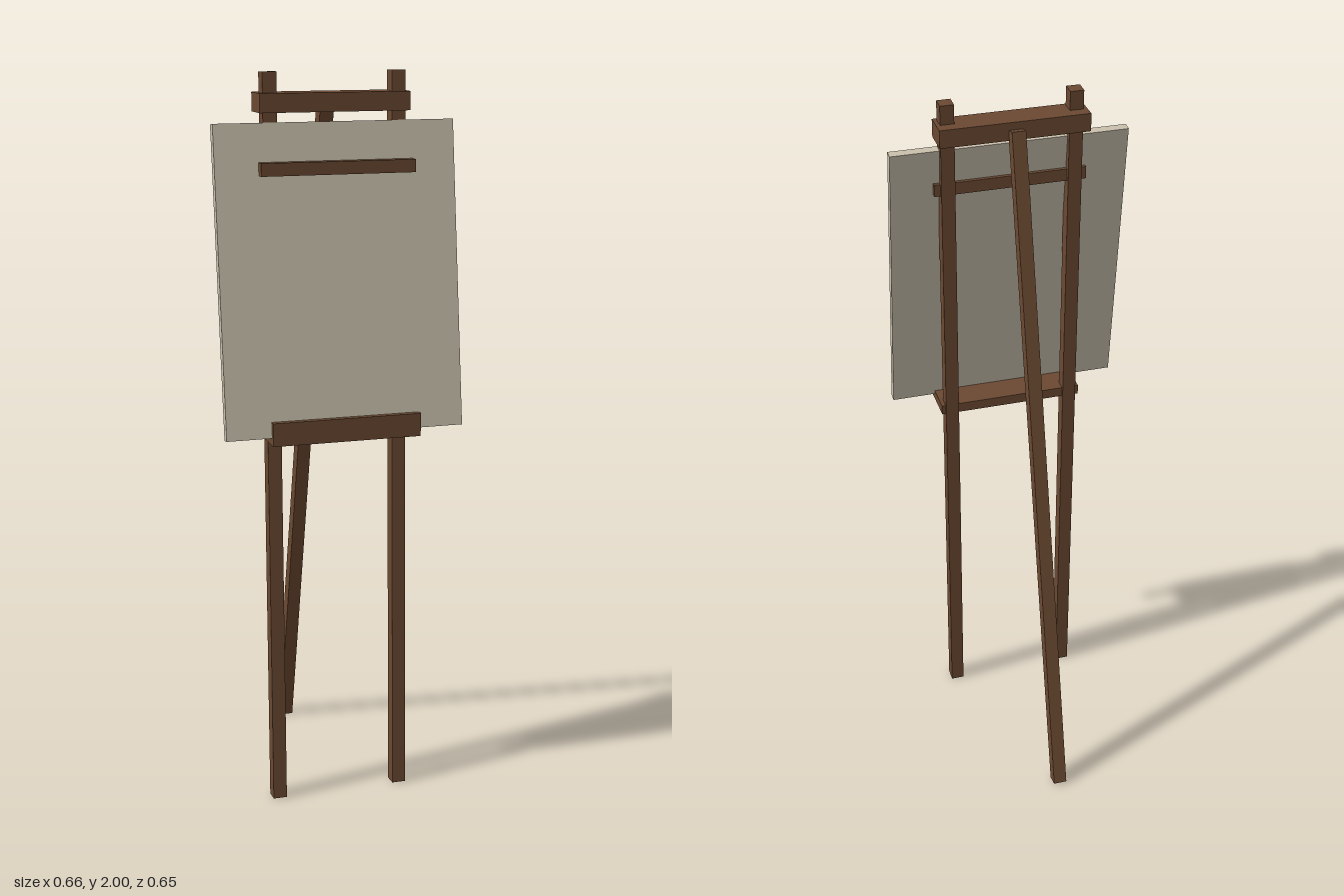
import * as THREE from 'three';

export function createModel() {
  const wood = new THREE.MeshStandardMaterial({ color: 0x6b4932 });
  wood.name = 'brown wood';
  const canvas = new THREE.MeshStandardMaterial({ color: 0xc9c0ad });
  canvas.name = 'pale canvas';

  const easel = new THREE.Group();
  easel.name = 'easel';

  // Box given by its size and centre
  function box(name, material, size, centre, tilt = 0) {
    const mesh = new THREE.Mesh(new THREE.BoxGeometry(...size), material);
    mesh.name = name;
    mesh.position.set(...centre);
    mesh.rotation.x = tilt;
    easel.add(mesh);
  }

  // Square bar leaning in z from its foot to its top, each [y, z]
  function leg(name, x, foot, top) {
    const dy = top[0] - foot[0], dz = top[1] - foot[1];
    box(name, wood, [0.038, Math.hypot(dy, dz), 0.038],
      [x, (foot[0] + top[0]) / 2, (foot[1] + top[1]) / 2], Math.atan2(dz, dy));
  }

  // Three legs
  leg('leftFrontLeg', 0.176, [0.001, 0.249], [1.999, 0.176]);
  leg('rightFrontLeg', -0.176, [0.001, 0.249], [1.999, 0.176]);
  leg('backLeg', 0, [0.004, -0.308], [1.926, 0.116]);

  // Bar joining the legs at the top
  box('topCrossbar', wood, [0.411, 0.05, 0.082], [0, 1.92, 0.166]);

  // Tray with its raised front lip
  box('trayShelf', wood, [0.411, 0.028, 0.12], [0, 1.052, 0.258]);
  box('trayLip', wood, [0.411, 0.063, 0.017], [0, 1.069, 0.316]);

  // Leaning board and the bar that clamps it
  box('canvasBoard', canvas, [0.658, 0.82, 0.025], [0, 1.4625, 0.244], -0.138);
  box('clampBar', wood, [0.423, 0.034, 0.064], [0, 1.753, 0.21]);

  return easel;
}
